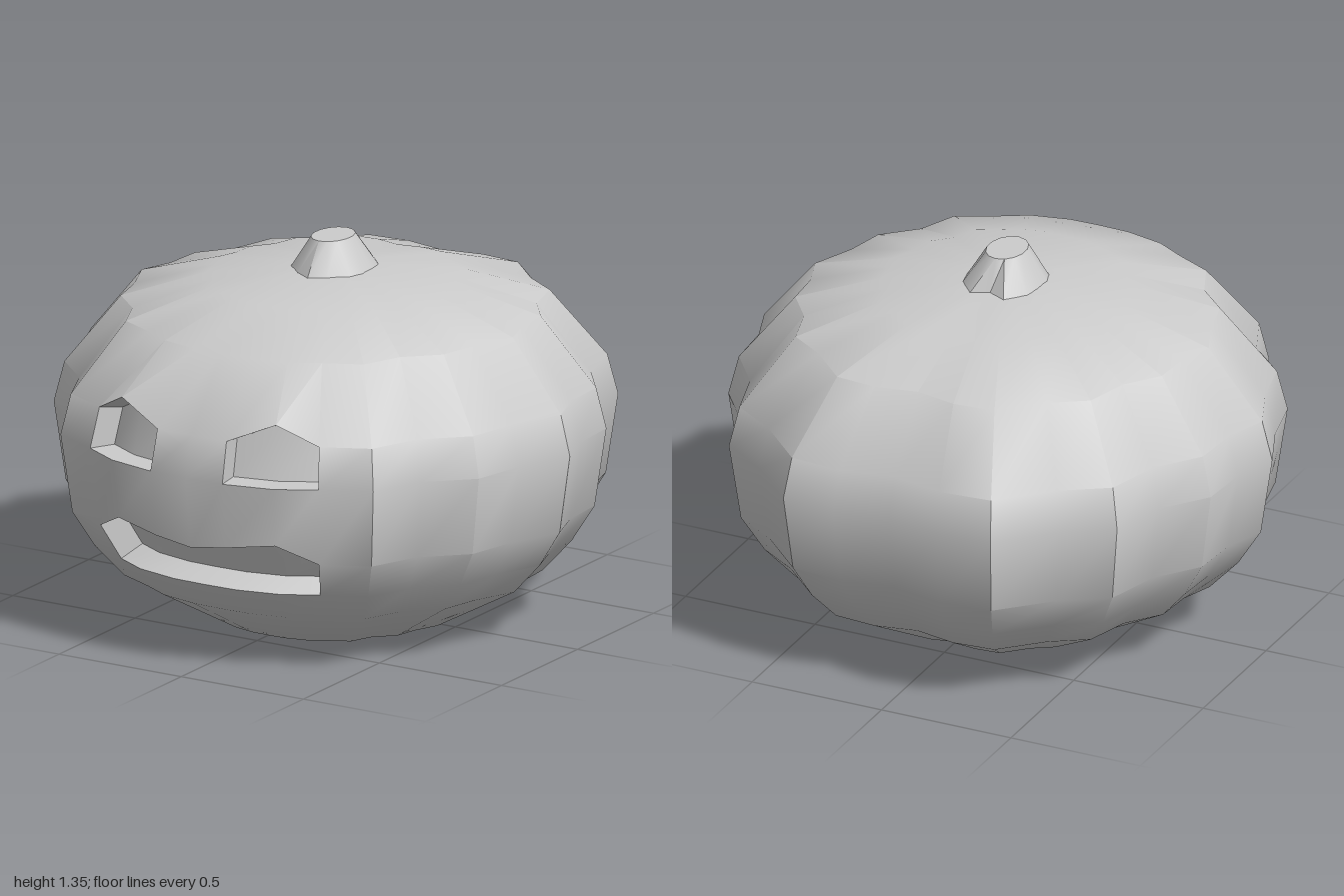
import * as THREE from 'three';
import { toCreasedNormals } from 'three/addons/utils/BufferGeometryUtils.js';

// Widest outline of the body (x, z), from front centre round one side to back centre.
const OUTLINE = [
  [0, 0.97], [0.147, 0.966], [0.33, 0.925], [0.467, 0.848], [0.64, 0.765], [0.72, 0.58],
  [0.87, 0.44], [0.915, 0.25], [1, 0.05], [0.945, -0.11], [0.932, -0.3], [0.81, -0.46],
  [0.75, -0.67], [0.58, -0.78], [0.4, -0.957], [0.2, -0.975], [0, -0.935],
];
// Body rings from base to crown: [y, scale of the outline]
const RINGS = [
  [0, 0.44], [0.18, 0.765], [0.295, 0.872], [0.43, 0.957], [0.715, 1],
  [0.86, 0.962], [1.105, 0.76], [1.2, 0.45], [1.235, 0.14],
];
const MOUTH_ROW = 2, EYE_ROW = 4;
const CARVE_SCALE = 0.9, CARVE_CENTRE_Y = 0.715;

// Mirrors a half outline: index i runs from -n to n, negative on the right side.
function outlinePoint(half, i) {
  const [x, z] = half[Math.abs(i)];
  return [Math.sign(i) * x, z];
}

function meshFrom(name, tris) {
  const geometry = new THREE.BufferGeometry();
  geometry.setAttribute('position', new THREE.Float32BufferAttribute(tris.flat(), 3));
  const mesh = new THREE.Mesh(
    toCreasedNormals(geometry, 0.62),
    new THREE.MeshStandardMaterial({ color: 0xcccccc }),
  );
  mesh.name = name;
  return mesh;
}

const quad = (out, a, b, c, d) => out.push(a, b, c, a, c, d);

// Vertex of the body grid; the upper edges of the eyes and mouth are pulled upwards.
function bodyPoint(i, row) {
  let [y, scale] = RINGS[row];
  const column = Math.abs(i);
  if (row === EYE_ROW + 1 && column === 2) [y, scale] = [0.935, 0.955];
  if (row === MOUTH_ROW + 1 && column < 3) {
    y = [0.455, 0.475, 0.5][column];
    scale = 0.97;
  }
  const [x, z] = outlinePoint(OUTLINE, i);
  return [x * scale, y, z * scale];
}

const inMouth = (i, row) => row === MOUTH_ROW && i >= -3 && i < 3;
const inEye = (i, row) => row === EYE_ROW && (i === 1 || i === 2 || i === -2 || i === -3);
const isCarved = (i, row) => inMouth(i, row) || inEye(i, row);

const sunk = ([x, y, z]) => [
  x * CARVE_SCALE,
  CARVE_CENTRE_Y + (y - CARVE_CENTRE_Y) * CARVE_SCALE,
  z * CARVE_SCALE,
];

// Sunken floor and side walls of a group of carved cells
function carving(name, belongs) {
  const tris = [];
  for (let row = 0; row < RINGS.length - 1; row++) {
    for (let i = -16; i < 16; i++) {
      if (!belongs(i, row)) continue;
      const c = [bodyPoint(i, row), bodyPoint(i + 1, row), bodyPoint(i + 1, row + 1), bodyPoint(i, row + 1)];
      quad(tris, ...c.map(sunk));
      const neighbours = [[i, row - 1], [i + 1, row], [i, row + 1], [i - 1, row]];
      neighbours.forEach(([ni, nr], k) => {
        if (belongs(ni, nr)) return;
        const a = c[k], b = c[(k + 1) % 4];
        quad(tris, a, b, sunk(b), sunk(a));
      });
    }
  }
  return meshFrom(name, tris);
}

// Ribbed skin with the carved cells left open, closed at base and crown
function body() {
  const tris = [];
  const top = RINGS.length - 1;
  for (let i = -16; i < 16; i++) {
    for (let row = 0; row < top; row++) {
      if (isCarved(i, row)) continue;
      quad(tris, bodyPoint(i, row), bodyPoint(i + 1, row), bodyPoint(i + 1, row + 1), bodyPoint(i, row + 1));
    }
    tris.push(bodyPoint(i + 1, 0), bodyPoint(i, 0), [0, 0, 0]);
    tris.push(bodyPoint(i, top), bodyPoint(i + 1, top), [0, RINGS[top][0], 0]);
  }
  return meshFrom('body', tris);
}

// Tapered stem with a lobed foot and an oval flat top
function stem() {
  const foot = [[0, 0.17], [0.06, 0.14], [0.125, 0.08], [0.142, 0.03], [0.138, -0.04], [0.125, -0.1], [0.065, -0.165], [0, -0.14]];
  const n = foot.length - 1;
  const low = (i) => {
    const [x, z] = outlinePoint(foot, i);
    return [x, 1.23, z];
  };
  const high = (i) => {
    const angle = (i / n) * Math.PI;
    return [0.07 * Math.sin(angle), 1.347, 0.095 * Math.cos(angle)];
  };
  const tris = [];
  for (let i = -n; i < n; i++) {
    quad(tris, low(i), low(i + 1), high(i + 1), high(i));
    tris.push(high(i), high(i + 1), [0, 1.347, 0]);
  }
  return meshFrom('stem', tris);
}

export function createModel() {
  const model = new THREE.Group();
  model.name = 'carvedPumpkin';
  model.add(
    body(),
    stem(),
    carving('leftEye', (i, row) => inEye(i, row) && i > 0),
    carving('rightEye', (i, row) => inEye(i, row) && i < 0),
    carving('mouth', inMouth),
  );
  return model;
}
